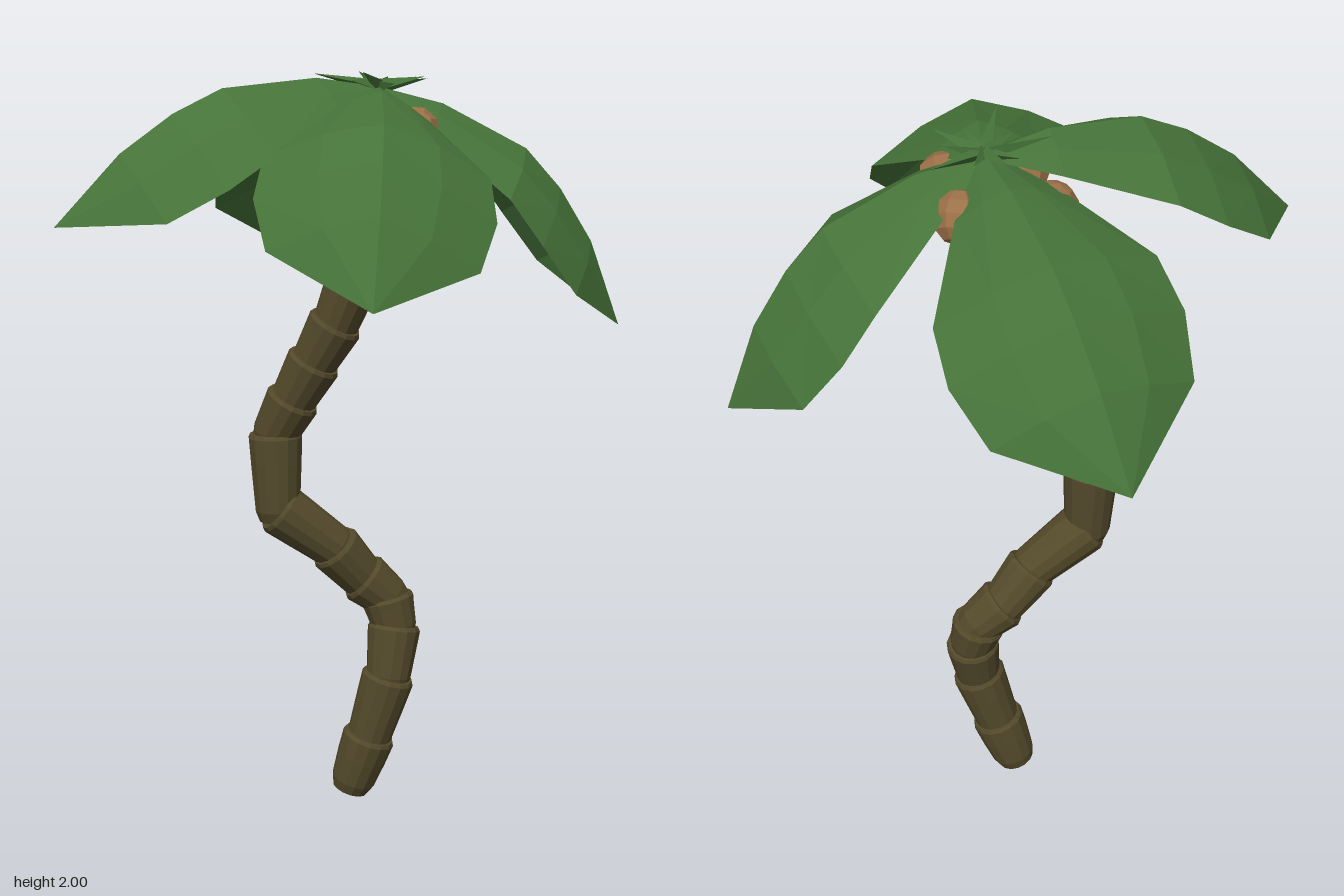
import * as THREE from 'three';

const mat = (name, color, side = THREE.FrontSide) =>
  Object.assign(new THREE.MeshStandardMaterial({ color, flatShading: true, side }), { name });

// Leaf blade along +x: rows of [distance, half width, rib height, edge height]
function leafGeometry() {
  const rows = [
    [0, 0.02, 0, -0.01], [0.15, 0.13, 0.085, 0.01], [0.39, 0.275, 0.155, 0.025],
    [0.53, 0.29, 0.145, 0.0], [0.69, 0.25, 0.105, -0.027], [0.908, 0, 0, 0],
  ];
  const cols = [-1, -0.5, 0, 0.5, 1];
  const pos = [], idx = [];
  rows.forEach(([s, w, rib, edge], r) => {
    cols.forEach((t, c) => {
      pos.push(s, rib + (edge - rib) * Math.abs(t) ** 1.4, t * w);
      if (r < rows.length - 1 && c < cols.length - 1) {
        const a = r * cols.length + c, b = a + cols.length;
        idx.push(a, a + 1, b);
        if (r < rows.length - 2) idx.push(a + 1, b + 1, b);
      }
    });
  });
  const g = new THREE.BufferGeometry();
  g.setAttribute('position', new THREE.Float32BufferAttribute(pos, 3));
  g.setIndex(idx);
  g.computeVertexNormals();
  return g;
}

export function createModel() {
  const model = new THREE.Group();
  model.name = 'palmTree';
  const bark = mat('bark', 0x544a2b);
  const leafGreen = mat('leafGreen', 0x467339, THREE.DoubleSide);
  const nutBrown = mat('nutBrown', 0x9b7048);
  const up = new THREE.Vector3(0, 1, 0);

  // Trunk: flared segments stacked along a bent line
  const joints = [
    [0.012, 0.02, -0.1], [0.066, 0.185, -0.085], [0.118, 0.36, -0.08], [0.135, 0.495, -0.105],
    [0.115, 0.575, -0.115], [0.045, 0.635, -0.11], [-0.035, 0.73, -0.085], [-0.185, 0.845, -0.065],
    [-0.19, 1.05, -0.07], [-0.14, 1.15, -0.045], [-0.085, 1.255, -0.02], [-0.03, 1.36, 0.005],
    [0.03, 1.52, 0.03], [0.06, 1.68, 0.02], [0.075, 1.83, -0.01],
  ].map((p) => new THREE.Vector3(...p));
  const trunk = new THREE.Group();
  trunk.name = 'trunk';
  for (let i = 0; i < joints.length - 1; i++) {
    const dir = joints[i + 1].clone().sub(joints[i]);
    const len = dir.length();
    dir.normalize();
    const low = i ? -0.035 : 0; // sink each segment into the one below
    const profile = [[0, low], [0.05, low], [0.061, low + 0.03], [0.069, len * 0.6], [0.073, len - 0.01], [0.068, len], [0, len]];
    const segment = new THREE.Mesh(
      new THREE.LatheGeometry(profile.map((p) => new THREE.Vector2(...p)), 14), bark);
    segment.name = 'trunkSegment';
    segment.position.copy(joints[i]);
    segment.quaternion.setFromUnitVectors(up, dir);
    trunk.add(segment);
  }
  model.add(trunk);

  // Crown: four drooping leaves aimed at their tips, each slightly rolled
  const crown = new THREE.Vector3(0.08, 1.96, -0.03);
  const blade = leafGeometry();
  [
    ['frontLeaf', [0.01, 1.49, 0.755], -7],
    ['backLeaf', [-0.16, 1.48, -0.76], 9],
    ['leftLeaf', [0.73, 1.33, -0.09], 4],
    ['rightLeaf', [-0.735, 1.63, 0.2], -7],
  ].forEach(([name, tip, roll]) => {
    const d = new THREE.Vector3(...tip).sub(crown);
    const leaf = new THREE.Mesh(blade, leafGreen);
    leaf.name = name;
    leaf.position.copy(crown);
    leaf.rotation.set(
      THREE.MathUtils.degToRad(roll), Math.atan2(-d.z, d.x),
      Math.atan2(d.y, Math.hypot(d.x, d.z)), 'YZX');
    model.add(leaf);
  });

  // Small spiky sprouts on top of the crown
  const sprouts = new THREE.Group();
  sprouts.name = 'sprouts';
  for (let i = 0; i < 10; i++) {
    const a = Math.PI + i * Math.PI / 5, len = [0.17, 0.1, 0.14, 0.11][i % 4];
    const rise = [0.2, 0.1, 0.25][i % 3];
    const dir = new THREE.Vector3(Math.cos(a), rise, Math.sin(a)).normalize();
    const g = new THREE.ConeGeometry(0.02, len, 3).translate(0, len / 2, 0);
    const spike = new THREE.Mesh(g, leafGreen);
    spike.name = 'sprout';
    spike.quaternion.setFromUnitVectors(up, dir);
    spike.position.copy(crown);
    sprouts.add(spike);
  }
  model.add(sprouts);

  // Coconuts tucked under the leaves
  const nut = new THREE.SphereGeometry(0.066, 8, 6);
  [[-0.07, 1.85, -0.115], [0.15, 1.85, -0.13], [0.165, 1.85, 0.06], [-0.025, 1.84, 0.075]].forEach((p, i) => {
    const coconut = new THREE.Mesh(nut, nutBrown);
    coconut.name = 'coconut';
    coconut.position.set(...p);
    coconut.rotation.set(0.4 * i, i, 0.3);
    model.add(coconut);
  });
  return model;
}
